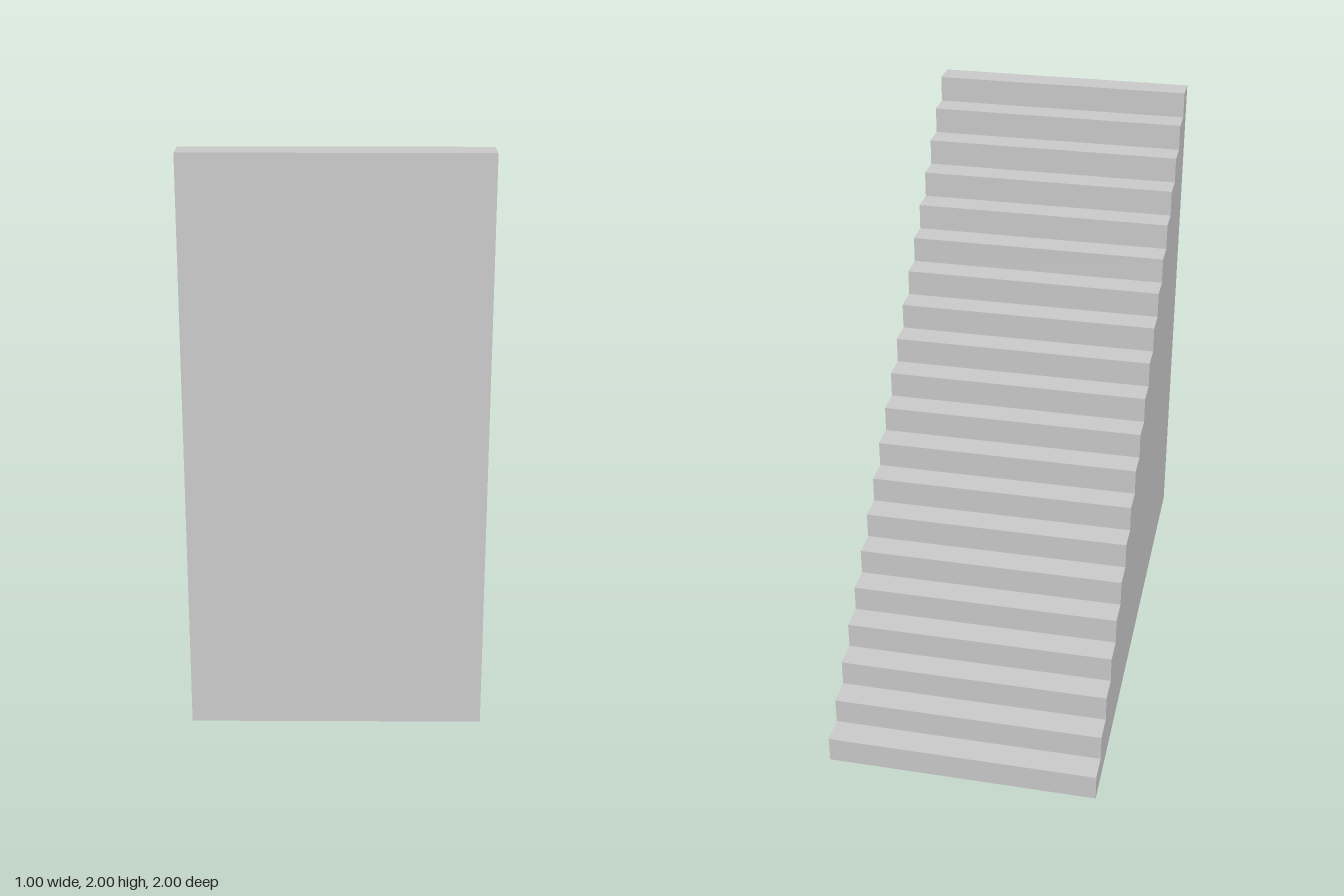
import * as THREE from 'three';

const STEPS = 20;
const RISE = 0.1;
const TREAD = 0.1;
const WIDTH = 1;

// Solid staircase climbing from the back (-z) to the front (+z)
export function createModel() {
  const group = new THREE.Group();
  group.name = 'staircase';

  // Side profile: shape x runs along the model's z
  const profile = new THREE.Shape();
  profile.moveTo(1, 0);
  profile.lineTo(1, STEPS * RISE);
  for (let i = STEPS; i > 0; i--) {
    const z = -1 + (i - 1) * TREAD;
    profile.lineTo(z, i * RISE); // tread
    profile.lineTo(z, (i - 1) * RISE); // riser
  }
  profile.closePath();

  const geometry = new THREE.ExtrudeGeometry(profile, { depth: WIDTH, bevelEnabled: false });
  geometry.translate(0, 0, -WIDTH / 2);
  geometry.rotateY(-Math.PI / 2);

  const stairs = new THREE.Mesh(geometry, new THREE.MeshStandardMaterial({ color: 0xcccccc }));
  stairs.name = 'steps';
  group.add(stairs);
  return group;
}
